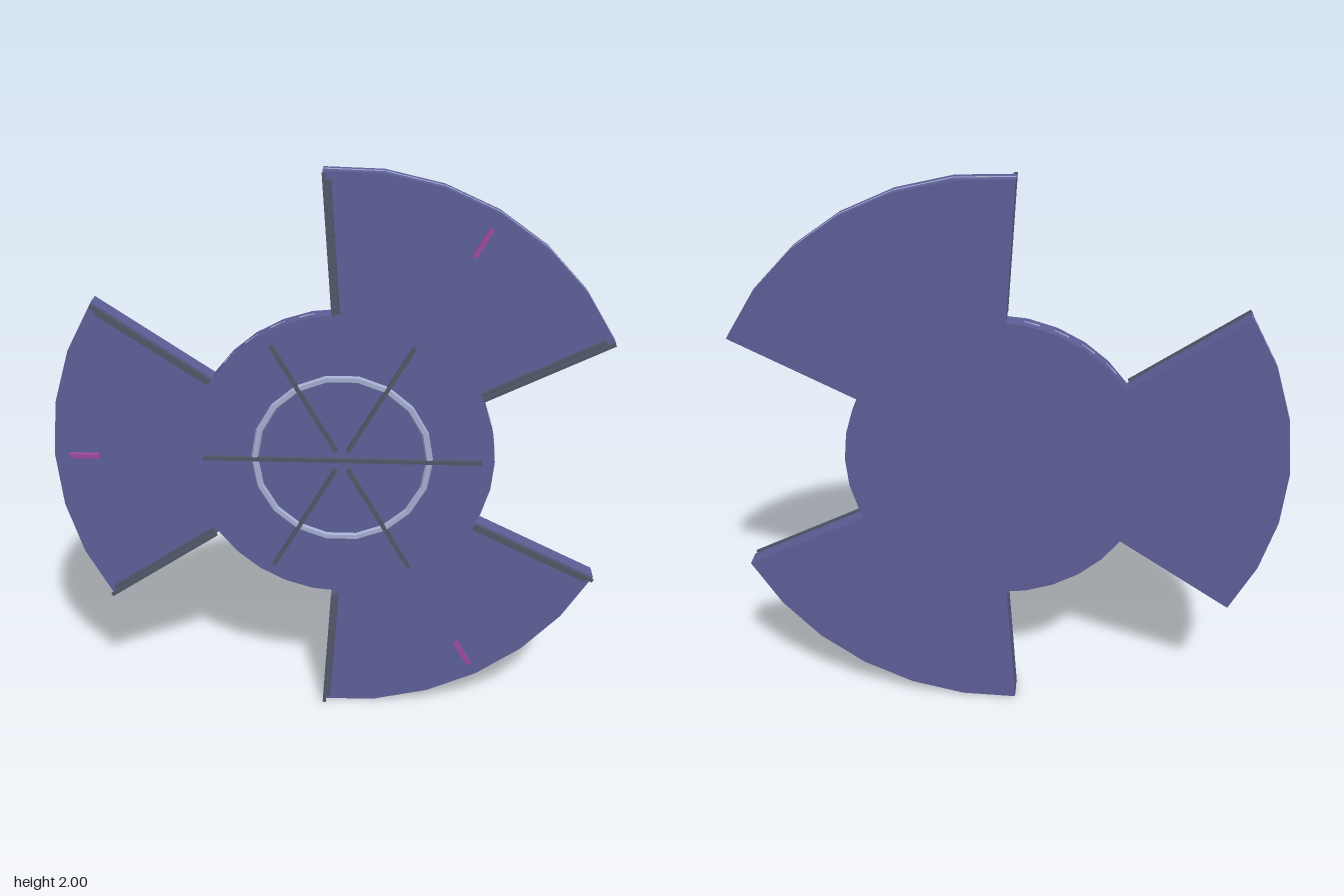
import * as THREE from 'three';

const BACK = -0.045, FRONT = 0.02, DEPTH = FRONT - BACK;
const HUB_R = 0.525, OUTER_R = 1.0, HALF = THREE.MathUtils.degToRad(33.8);

const mat = (color) => new THREE.MeshStandardMaterial({ color, flatShading: true });

export function createModel() {
  const model = new THREE.Group();
  const body = mat(0x5c5e96);
  const dark = mat(0x505668);
  const light = mat(0xa4acd0);
  const accent = mat(0x9c4a9c);

  // All parts are laid out around the hub axis
  const wheel = new THREE.Group();
  wheel.name = 'wheel';
  wheel.position.set(0.05, 1, 0);
  model.add(wheel);

  const add = (parent, name, geometry, material) => {
    const mesh = new THREE.Mesh(geometry, material);
    mesh.name = name;
    parent.add(mesh);
    return mesh;
  };

  // Bar along local x from r0 to r1, shifted sideways by y, between z0 and z1
  const bar = (parent, name, r0, r1, y, width, z0, z1, material) => {
    const mesh = add(parent, name, new THREE.BoxGeometry(r1 - r0, width, z1 - z0), material);
    mesh.position.set((r0 + r1) / 2, y, (z0 + z1) / 2);
    return mesh;
  };

  const turned = (parent, name, angle) => {
    const group = new THREE.Group();
    group.name = name;
    group.rotation.z = angle;
    parent.add(group);
    return group;
  };

  // Hub disc
  const hub = add(wheel, 'hubDisc', new THREE.CylinderGeometry(HUB_R, HUB_R, DEPTH, 32), body);
  hub.rotation.x = Math.PI / 2;
  hub.position.z = (FRONT + BACK) / 2;

  // Raised ring on the hub
  const ring = add(wheel, 'hubRing', new THREE.TorusGeometry(0.302, 0.015, 6, 18), light);
  ring.position.z = 0.016;

  // Six spokes, the horizontal pair meeting in the middle
  for (let i = 0; i < 6; i++) {
    const spoke = turned(wheel, 'spoke', i * Math.PI / 3);
    bar(spoke, 'spokeBar', i % 3 ? 0.04 : 0, 0.48, 0, 0.014, FRONT - 0.005, 0.032, dark);
  }

  // Annular sector outline shared by the three blades
  const arc = (r, a, b, n) => Array.from({ length: n + 1 }, (_, i) => {
    const t = a + (b - a) * i / n;
    return new THREE.Vector2(r * Math.cos(t), r * Math.sin(t));
  });
  const sector = new THREE.Shape([...arc(OUTER_R, -HALF, HALF, 6), ...arc(HUB_R - 0.01, HALF, -HALF, 6)]);
  const bladeGeometry = new THREE.ExtrudeGeometry(sector, { depth: DEPTH, bevelEnabled: false });
  const step = 2 * HALF / 6;
  const chord = 2 * OUTER_R * Math.sin(step / 2);
  const apothem = OUTER_R * Math.cos(step / 2);

  for (let k = 0; k < 3; k++) {
    const angle = Math.PI / 3 + k * 2 * Math.PI / 3;
    const blade = turned(wheel, 'blade', angle);
    add(blade, 'bladePlate', bladeGeometry, body).position.z = BACK;

    // Coloured marker near the rim
    bar(blade, 'marker', 0.84, 0.945, 0, 0.016, FRONT, 0.035, accent);

    // Stepped pair of rails along each straight edge
    for (const side of [-1, 1]) {
      const edge = turned(blade, 'edgeRails', side * HALF);
      bar(edge, 'outerRail', 0.53, 0.998, -side * 0.005, 0.012, 0.034, 0.045, dark);
      bar(edge, 'innerRail', 0.53, 0.975, -side * 0.019, 0.014, 0.021, 0.036, dark);
    }

    // Thin light strip around the blade rim
    for (let i = 0; i < 6; i++) {
      const facet = turned(blade, 'rimStrip', -HALF + (i + 0.5) * step);
      bar(facet, 'rimStripFacet', apothem - 0.004, apothem + 0.002, 0, chord, -0.016, -0.01, light);
    }

    // Light dashes on the exposed hub rim between the blades
    for (let i = -2; i < 2; i++) {
      const dash = turned(wheel, 'rimDash', angle + Math.PI / 3 + (i + 0.5) * Math.PI / 16);
      bar(dash, 'rimDashBar', HUB_R - 0.008, HUB_R, 0, 0.052, -0.016, -0.01, light);
    }
  }
  return model;
}
